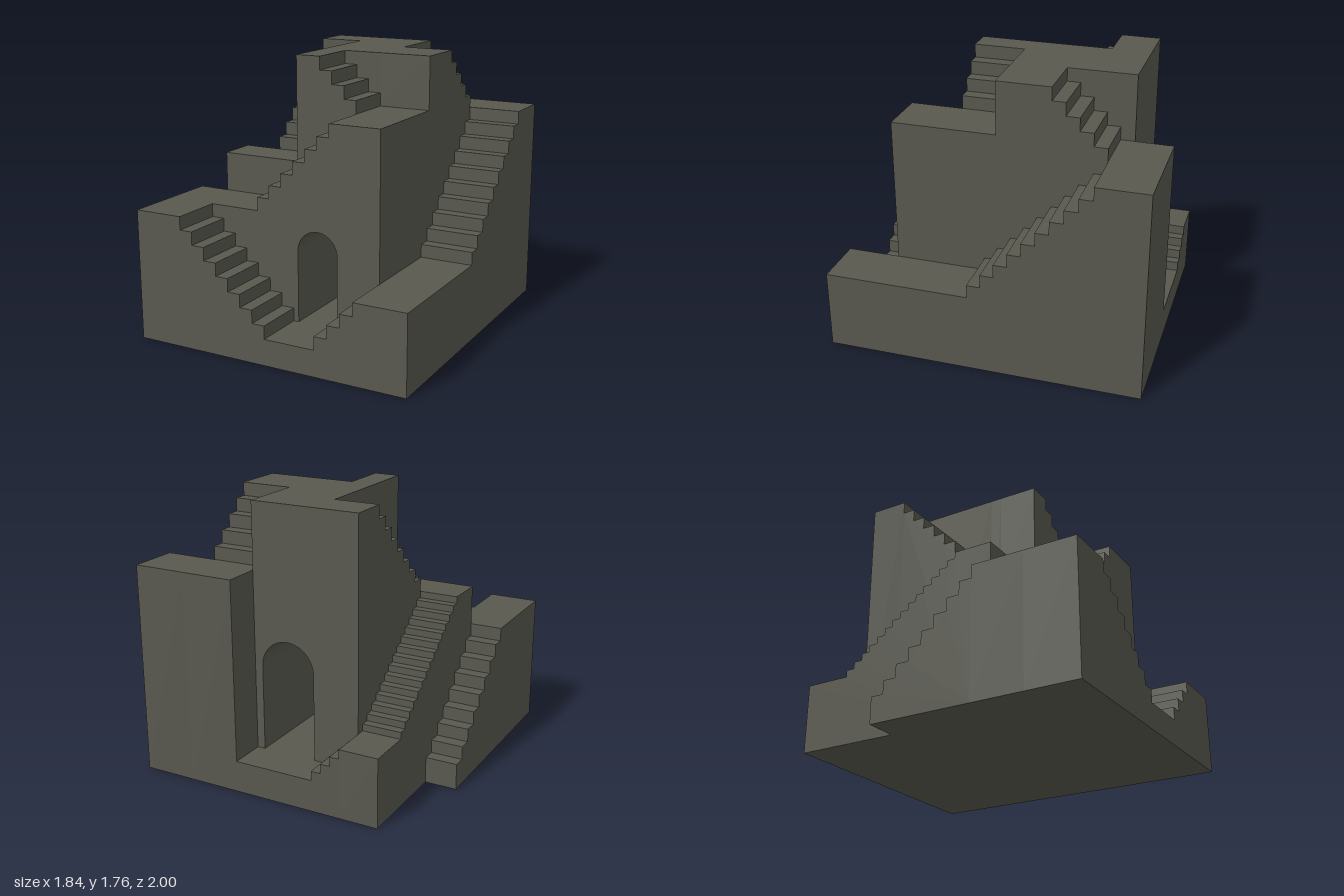
import * as THREE from 'three';

const U = 0.084; // common riser and tread size

// A run of n steps: each entry is [start position, height]
const flight = (start, height, n, run, rise) =>
  Array.from({ length: n }, (_, i) => [start + i * run, height + i * rise]);

// Solid silhouette standing on y = 0 under a stepped top line
function profile(levels, end) {
  const shape = new THREE.Shape();
  shape.moveTo(levels[0][0], 0);
  shape.lineTo(end, 0);
  for (let i = levels.length - 1; i >= 0; i--) {
    const right = i === levels.length - 1 ? end : levels[i + 1][0];
    shape.lineTo(right, levels[i][1]);
    shape.lineTo(levels[i][0], levels[i][1]);
  }
  shape.closePath();
  return shape;
}

// Round-headed doorway outline
function arch(x0, x1, floor, spring) {
  const hole = new THREE.Path();
  const r = (x1 - x0) / 2;
  hole.moveTo(x0, floor);
  hole.lineTo(x0, spring);
  hole.absarc(x0 + r, spring, r, Math.PI, 0, true);
  hole.lineTo(x1, floor);
  hole.closePath();
  return hole;
}

export function createModel() {
  const group = new THREE.Group();
  const stone = new THREE.MeshStandardMaterial({ color: 0x58584f });
  stone.name = 'dark stone';

  const add = (name, geometry) => {
    const mesh = new THREE.Mesh(geometry, stone);
    mesh.name = name;
    group.add(mesh);
  };
  const extrude = (shape, depth) =>
    new THREE.ExtrudeGeometry(shape, { depth, bevelEnabled: false, curveSegments: 24 });

  // Slab with its profile across x, filling z0 to z1
  function acrossX(name, z0, z1, levels, end, hole) {
    const shape = profile(levels, end);
    if (hole) shape.holes.push(hole);
    add(name, extrude(shape, z1 - z0).translate(0, 0, z0));
  }
  // Slab with its profile running from front to back (positions are -z), filling x0 to x1
  function alongZ(name, x0, x1, levels, end) {
    add(name, extrude(profile(levels, end), x1 - x0).rotateY(Math.PI / 2).translate(x0, 0, 0));
  }

  const frontDoor = () => arch(0.025, 0.295, 2 * U, 0.625);
  const backDoor = () => arch(-0.165, 0.19, 0.2, 0.75);

  // Front stairs falling to the door landing and rising to the side terrace
  acrossX('frontStairs', 0.662, 1, [
    [-0.92, 10 * U],
    ...flight(-0.598, 9 * U, 8, U, -U),
    ...flight(0.326, 3 * U, 3, U, U),
    [0.578, 6 * U],
  ], 0.92);

  // Second flight above the front door
  acrossX('middleStairs', 0.326, 0.662, [
    [-0.92, 10 * U],
    ...flight(-0.262, 11 * U, 6, U, U),
    [0.242, 17 * U],
  ], 0.578, frontDoor());

  // Upper flight beside the left plateau
  acrossX('upperStairs', 0.072, 0.326, [
    [-0.715, 13 * U],
    [-0.175, 21 * U],
    ...flight(-0.01, 20 * U, 3, U, -U),
    [0.242, 17 * U],
  ], 0.578, frontDoor());

  // Wall between the two door niches, with the ends of the top steps
  acrossX('innerWall', 0, 0.072, [
    [-0.175, 21 * U],
    ...flight(-0.01, 20 * U, 3, U, -U),
  ], 0.242);

  // Tower with the arched back door
  acrossX('towerCore', -0.515, 0, [[-0.175, 21 * U]], 0.242, backDoor());
  acrossX('towerBack', -0.764, -0.515, [[-0.465, 21 * U]], 0.242, backDoor());

  // Back ledge with small steps up to the corner
  acrossX('backLedge', -1, -0.764, [
    ...flight(-0.465, 0.38, 3, 0.062, -0.06),
    [-0.279, 0.2],
  ], 0.242);

  // Long stairs on the outer side
  alongZ('sideStairs', 0.578, 0.92, [
    [-0.662, 6 * U],
    ...flight(-0.08, 7 * U, 10, U, U),
  ], 1);

  // Stairs from the roof to the back terrace
  alongZ('roofStairs', 0.242, 0.578, [
    [-0.072, 17 * U],
    [0, 21 * U],
    ...flight(0.339, 20 * U, 5, U, -U),
  ], 1);

  // Stairs from the plateau up the tower
  alongZ('towerStairs', -0.465, -0.175, flight(-0.072, 14 * U, 7, U, U), 0.515);

  // Narrow stairs from the plateau down to the back corner
  const drop = (13 * U - 0.44) / 15;
  alongZ('backStairs', -0.715, -0.465, [
    ...flight(-0.072, 13 * U - drop, 14, 0.78 / 14, -drop),
    [0.708, 0.44],
  ], 1);

  // Outer stairs falling to the ground
  alongZ('groundStairs', -0.92, -0.715, flight(-0.326, 9 * U, 8, U, -U), 0.344);

  return group;
}
